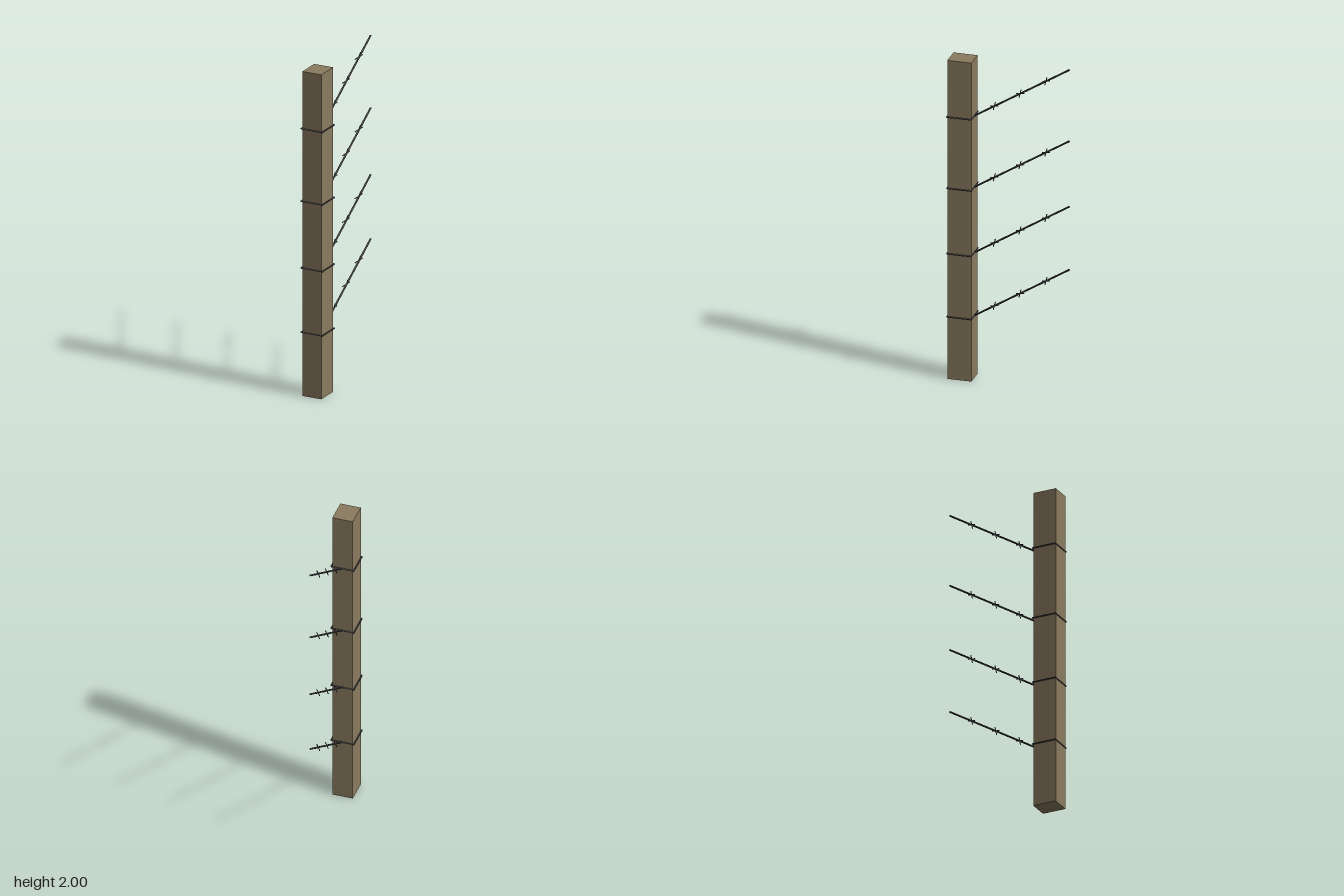
import * as THREE from 'three';

export function createModel() {
  const group = new THREE.Group();
  const wood = new THREE.MeshStandardMaterial({ color: 0x8b7b60 });
  wood.name = 'weathered wood';
  const steel = new THREE.MeshStandardMaterial({ color: 0x4c4c4e });
  steel.name = 'dark steel';

  // Square post
  const post = new THREE.Mesh(new THREE.BoxGeometry(0.124, 1.99, 0.145), wood);
  post.name = 'post';
  post.position.set(0, 0.995, 0.286);
  group.add(post);

  // Straight faceted rod between two points
  function rod(parent, name, a, b, radius, sides = 6) {
    const from = new THREE.Vector3(...a);
    const dir = new THREE.Vector3(...b).sub(from);
    const geo = new THREE.CylinderGeometry(radius, radius, dir.length(), sides).toNonIndexed();
    geo.computeVertexNormals();
    const mesh = new THREE.Mesh(geo, steel);
    mesh.name = name;
    mesh.position.copy(from).addScaledVector(dir, 0.5);
    mesh.quaternion.setFromUnitVectors(new THREE.Vector3(0, 1, 0), dir.normalize());
    parent.add(mesh);
  }

  [0.39, 0.784, 1.193, 1.638].forEach((y) => {
    const strand = new THREE.Group();
    strand.name = 'wireStrand';
    strand.position.y = y;

    // Loop around the post
    const x = 0.069, front = 0.359, back = 0.213;
    rod(strand, 'loopFront', [-x, 0, front], [x, 0, front], 0.0045);
    rod(strand, 'loopBack', [-x, 0, back], [x, 0, back], 0.0045);
    for (const s of [-1, 1]) rod(strand, 'loopSide', [s * x, 0, back - 0.002], [s * x, 0, front + 0.002], 0.0045);

    // Rising wire
    const rise = 0.355, run = 0.573;
    rod(strand, 'wire', [0.003, 0, back], [0.003, rise, back - run], 0.0055);

    // Crossed barbs
    for (const z of [0.093, -0.062, -0.218]) {
      const h = (back - z) / run * rise;
      rod(strand, 'barb', [-0.01, h - 0.008, z + 0.027], [0.011, h + 0.008, z - 0.027], 0.003, 5);
      rod(strand, 'barb', [-0.004, h - 0.027, z + 0.008], [0.008, h + 0.027, z - 0.008], 0.003, 5);
    }
    group.add(strand);
  });

  return group;
}
